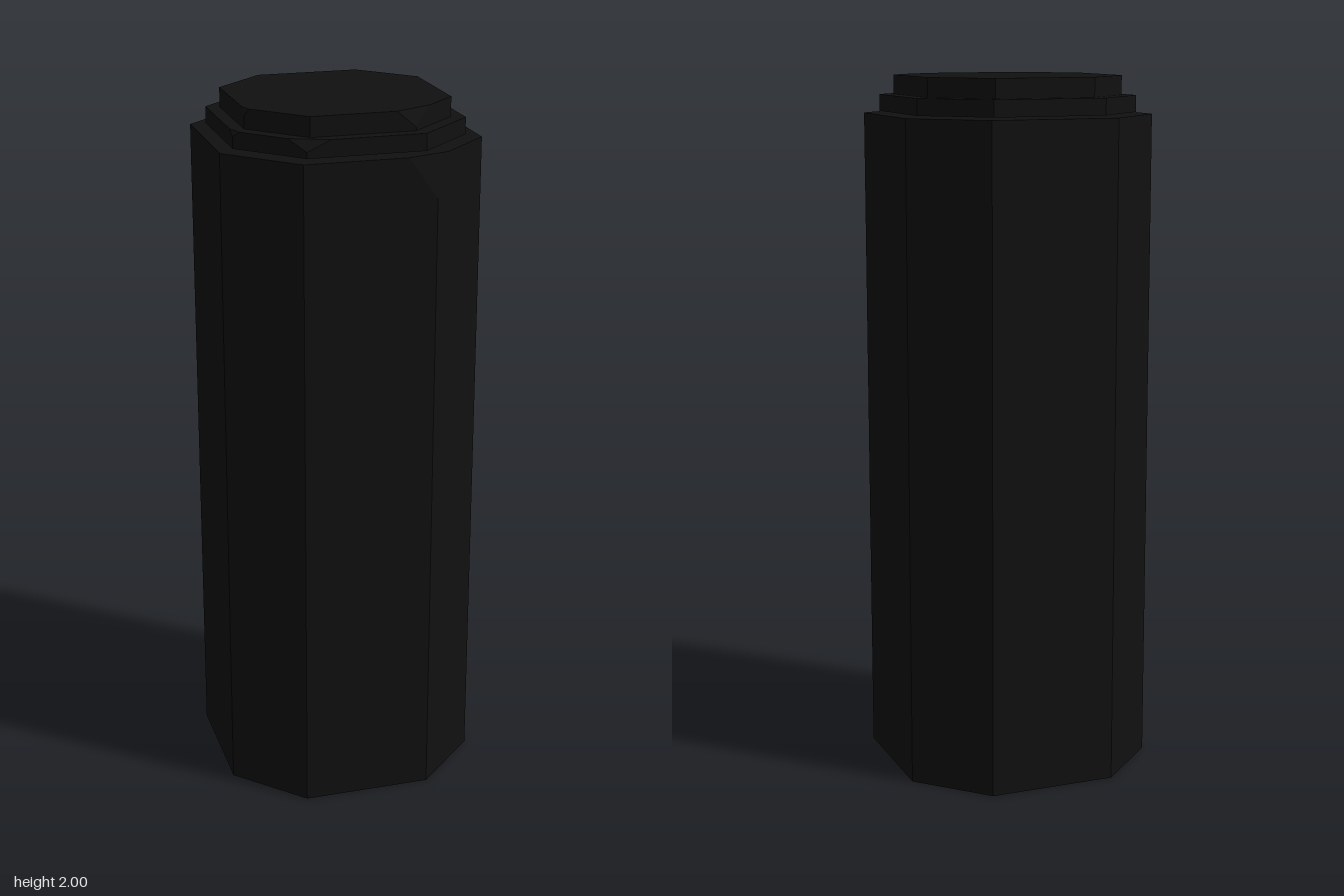
import * as THREE from 'three';
import { ConvexGeometry } from 'three/addons/geometries/ConvexGeometry.js';

// Octagon outline as x, z: two corners repeated by quarter turns
const outline = [];
for (let q = 0, a = [0.17, 0.37], b = [-0.197, 0.36]; q < 4; q++) {
  outline.push(a, b);
  a = [-a[1], a[0]];
  b = [-b[1], b[0]];
}

const material = new THREE.MeshStandardMaterial({ color: 0x101010, flatShading: true });

// Octagonal prism; a chip slices a top corner: [share of next edge, share of previous edge, depth]
function tier(name, scale, y0, y1, chips = {}) {
  const corner = (i, y) => {
    const [x, z] = outline[(i + 8) % 8];
    return new THREE.Vector3(x * scale, y, z * scale);
  };
  const points = [];
  for (let i = 0; i < 8; i++) {
    points.push(corner(i, y0));
    const top = corner(i, y1);
    if (chips[i]) {
      const [next, prev, depth] = chips[i];
      points.push(
        top.clone().lerp(corner(i + 1, y1), next),
        top.clone().lerp(corner(i - 1, y1), prev),
        corner(i, y1 - depth)
      );
    } else points.push(top);
  }
  const mesh = new THREE.Mesh(new ConvexGeometry(points), material);
  mesh.name = name;
  return mesh;
}

export function createModel() {
  const group = new THREE.Group();
  group.name = 'octagonalPillar';
  group.add(
    // Tall shaft with one broken front corner
    tier('shaft', 1, 0, 1.893, { 0: [0.22, 0.22, 0.115] }),
    // Two shrinking steps on top, with worn corners
    tier('lowerStep', 0.89, 1.898, 1.945, { 1: [0.25, 0.2, 0.03], 2: [0.1, 0.1, 0.015] }),
    tier('upperStep', 0.79, 1.945, 2, { 0: [0.37 / 2, 0.37, 0.045], 2: [0.08, 0.08, 0.02] })
  );
  return group;
}
